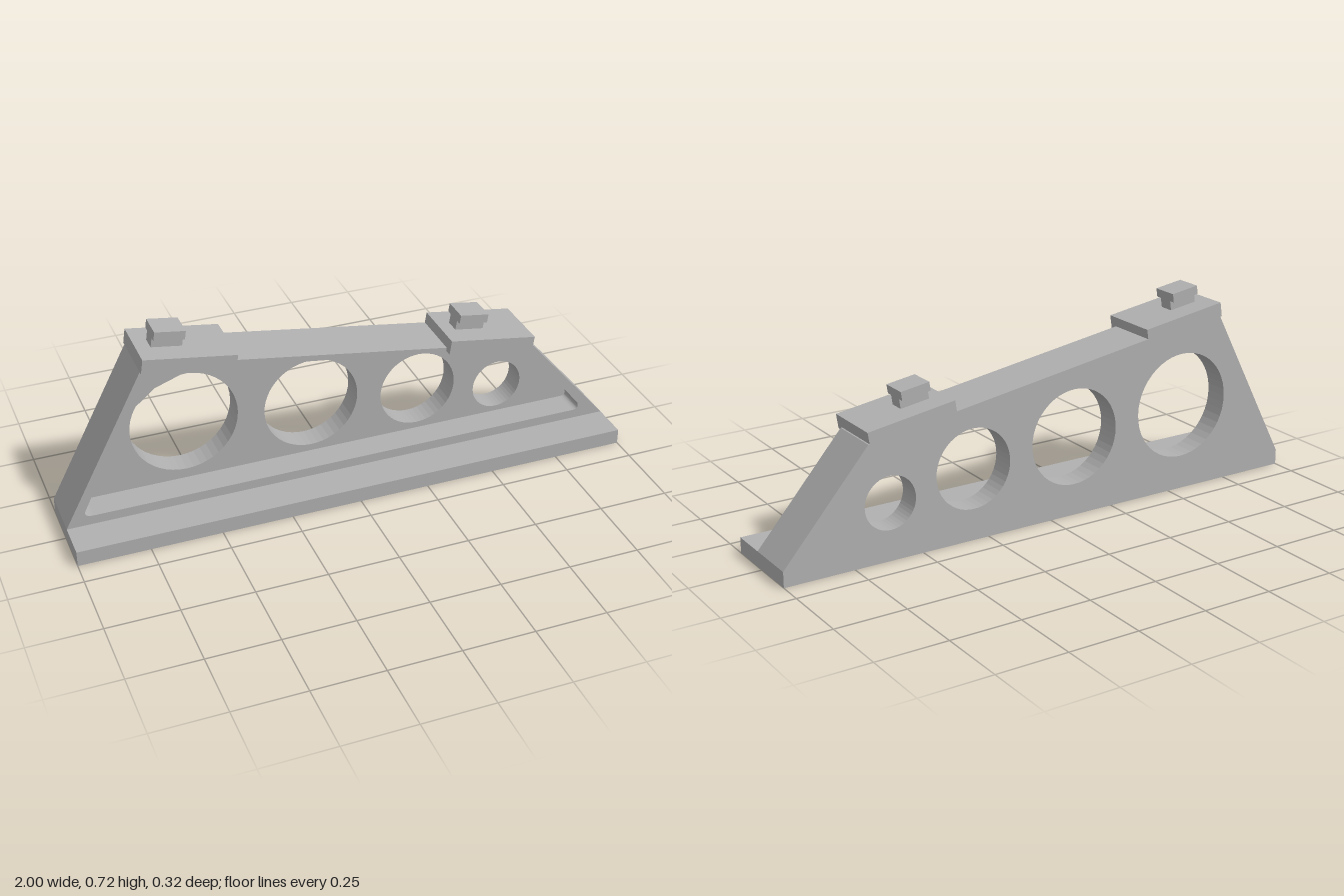
import * as THREE from 'three';

const BACK = -0.1615, FRONT = 0.1615;
const WEB_FRONT = -0.075, FRAME_FRONT = 0.027, PAD_FRONT = 0.055;
const BASE_TOP = 0.055, RECESS = 0.02;
const SLOPE = Math.atan(0.1525);

export function createModel() {
  const grey = new THREE.MeshStandardMaterial({ color: 0xb0b0b0 });
  grey.name = 'plain grey';
  const model = new THREE.Group();
  model.name = 'slopedBracket';

  const add = (parent, name, geometry) => {
    const mesh = new THREE.Mesh(geometry, grey);
    mesh.name = name;
    parent.add(mesh);
    return mesh;
  };
  const box = (parent, name, x, y0, y1, z0, z1, width) =>
    add(parent, name, new THREE.BoxGeometry(width, y1 - y0, z1 - z0))
      .position.set(x, (y0 + y1) / 2, (z0 + z1) / 2);
  const slab = (shape, z0, z1) =>
    new THREE.ExtrudeGeometry(shape, { depth: z1 - z0, bevelEnabled: false, curveSegments: 24 })
      .translate(0, 0, z0);
  const polygon = (points) => new THREE.Shape(points.map(([x, y]) => new THREE.Vector2(x, y)));
  const circle = (x, y, r) => new THREE.Path().absarc(x, y, r, 0, Math.PI * 2, true);

  // Base plate, with two shallow round recesses underneath
  box(model, 'basePlate', 0, RECESS, BASE_TOP, BACK, FRONT, 2);
  const foot = polygon([[-1, BACK], [1, BACK], [1, FRONT], [-1, FRONT]]);
  for (const side of [-1, 1]) foot.holes.push(circle(side * 0.857, 0, 0.116));
  add(model, 'baseUnderside', slab(foot, 0, RECESS).rotateX(Math.PI / 2).translate(0, RECESS, 0));

  // Wall outline, shared by the web and the raised frame
  const outline = () => polygon([[-1, BASE_TOP], [1, BASE_TOP], [0.69, 0.413], [-0.702, 0.627]]);

  // Back web with four round openings
  const web = outline();
  for (const [x, y, r] of [
    [-0.55, 0.313, 0.19], [-0.094, 0.284, 0.171], [0.306, 0.252, 0.141], [0.617, 0.201, 0.093],
  ]) web.holes.push(circle(x, y, r));
  add(model, 'web', slab(web, BACK, WEB_FRONT));

  // Frame around the rounded pocket
  const pocket = new THREE.Path();
  pocket.moveTo(-0.9, 0.088);
  pocket.quadraticCurveTo(-0.945, 0.088, -0.93, 0.115);
  pocket.lineTo(-0.79, 0.41);
  for (const [x, y] of [[-0.74, 0.474], [-0.67, 0.533], [-0.58, 0.565], [-0.52, 0.568], [-0.46, 0.564],
    [0.37, 0.447], [0.57, 0.41], [0.66, 0.372], [0.75, 0.3], [0.9, 0.115]]) pocket.lineTo(x, y);
  pocket.quadraticCurveTo(0.91, 0.088, 0.88, 0.088);
  pocket.closePath();
  const frame = outline();
  frame.holes.push(pocket);
  add(model, 'frame', slab(frame, WEB_FRONT, FRAME_FRONT));

  // Two tilted pads, each with a T-shaped catch
  for (const [name, x, y] of [['upperMount', -0.55, 0.6385], ['lowerMount', 0.532, 0.477]]) {
    const mount = new THREE.Group();
    mount.name = name;
    mount.position.set(x, y, 0);
    mount.rotation.z = -SLOPE;
    box(mount, 'pad', 0, -0.051, 0, BACK, PAD_FRONT, 0.322);
    box(mount, 'catchStem', -0.0575, -0.005, 0.034, -0.08, -0.027, 0.106);
    box(mount, 'catchCap', -0.0575, 0.034, 0.065, -0.101, -0.006, 0.106);
    model.add(mount);
  }
  return model;
}
